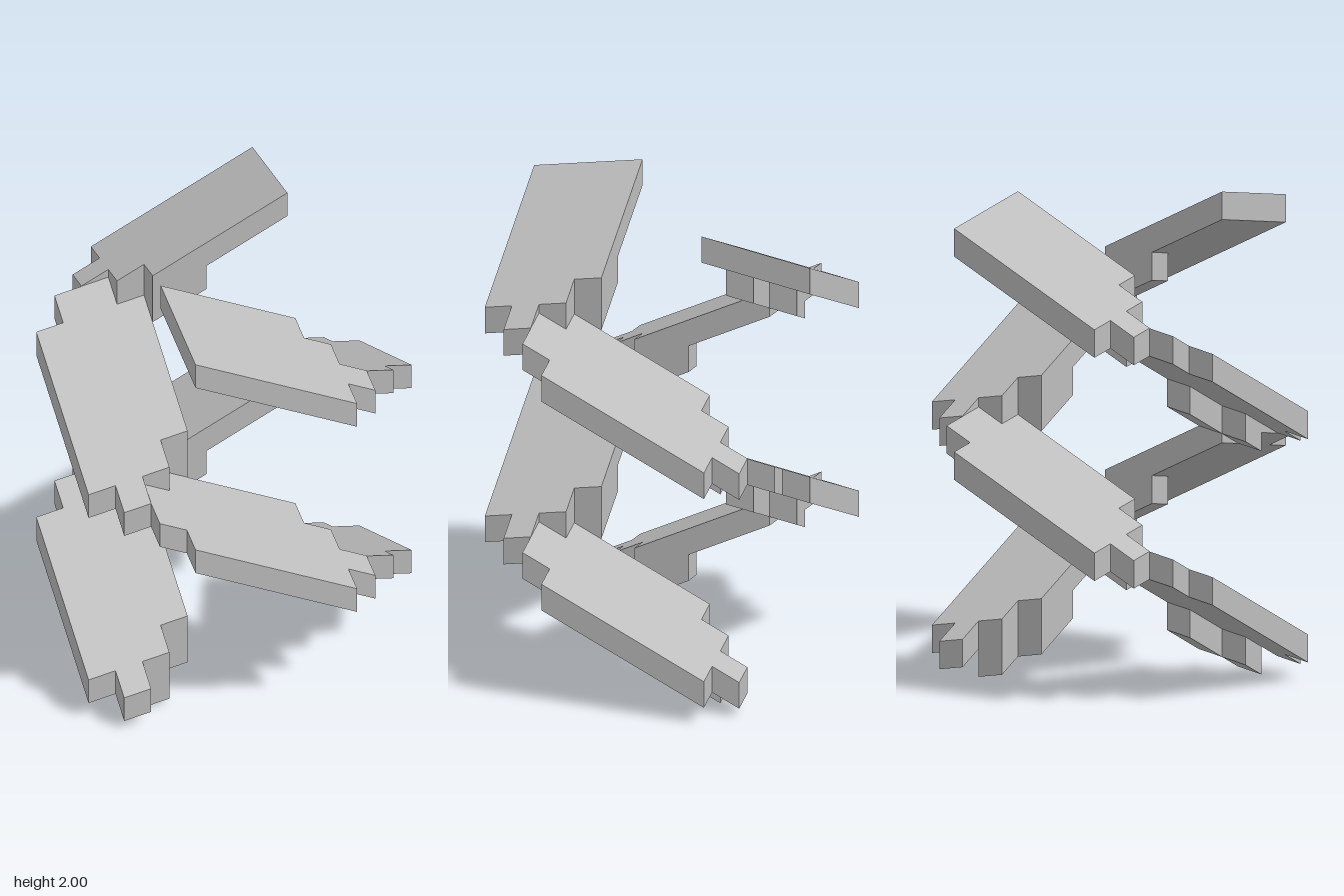
import * as THREE from 'three';

const U = 0.1146;      // grid step in plan
const THICK = 0.115;   // vertical thickness of one layer
const STEP = 0.46;     // drop from one ramp to the next
const SLOPE = 0.5;     // fall along the ramp
const TILT = 0.18;     // fall towards the outer edge

// Upright prism from a plan outline [along, radius] in grid steps, sheared to the ramp slope
function slab(outline, top, material, name) {
  const shape = new THREE.Shape(outline.map(([t, r]) => new THREE.Vector2(t * U, -r * U)));
  const geo = new THREE.ExtrudeGeometry(shape, { depth: THICK, bevelEnabled: false });
  geo.rotateX(-Math.PI / 2);
  const p = geo.attributes.position;
  for (let i = 0; i < p.count; i++) {
    const fall = SLOPE * (p.getX(i) + 3 * U) + TILT * (p.getZ(i) - 2 * U);
    p.setY(i, p.getY(i) + top - THICK - fall);
  }
  geo.computeVertexNormals();
  const mesh = new THREE.Mesh(geo, material);
  mesh.name = name;
  return mesh;
}

const rect = (t0, t1, r0, r1) => [[t0, r0], [t1, r0], [t1, r1], [t0, r1]];

// One ramp: stepped plate with two small blocks beneath its lower end
function ramp(top, hasUpperTab, material) {
  const g = new THREE.Group();
  const lowEnd = [[-3, 2], [2, 2], [2, 3], [3, 3], [3, 4], [4, 4], [4, 5], [3, 5], [3, 6], [-3, 6]];
  const highTab = [[-3, 5], [-4, 5], [-4, 3], [-3, 3]];
  g.add(slab(hasUpperTab ? lowEnd.concat(highTab) : lowEnd, top, material, 'rampPlate'));
  g.add(slab(rect(0, 2, 2, 3), top - THICK, material, 'innerUnderBlock'));
  g.add(slab(rect(2, 3, 3, 4), top - THICK, material, 'endUnderBlock'));
  return g;
}

export function createModel() {
  const stone = new THREE.MeshStandardMaterial({ color: 0xbcbcbc });
  stone.name = 'lightGrey';
  const model = new THREE.Group();
  model.name = 'doubleSpiralRamp';
  // Two strands, half a turn apart, each descending through four quarter turns
  for (let strand = 0; strand < 2; strand++) {
    const s = new THREE.Group();
    s.name = strand ? 'secondStrand' : 'firstStrand';
    for (let i = 0; i < 4; i++) {
      const r = ramp(2 - i * STEP, i > 0, stone);
      r.name = 'ramp' + (i + 1);
      r.rotation.y = i * Math.PI / 2;
      s.add(r);
    }
    s.rotation.y = strand * Math.PI;
    model.add(s);
  }
  return model;
}
